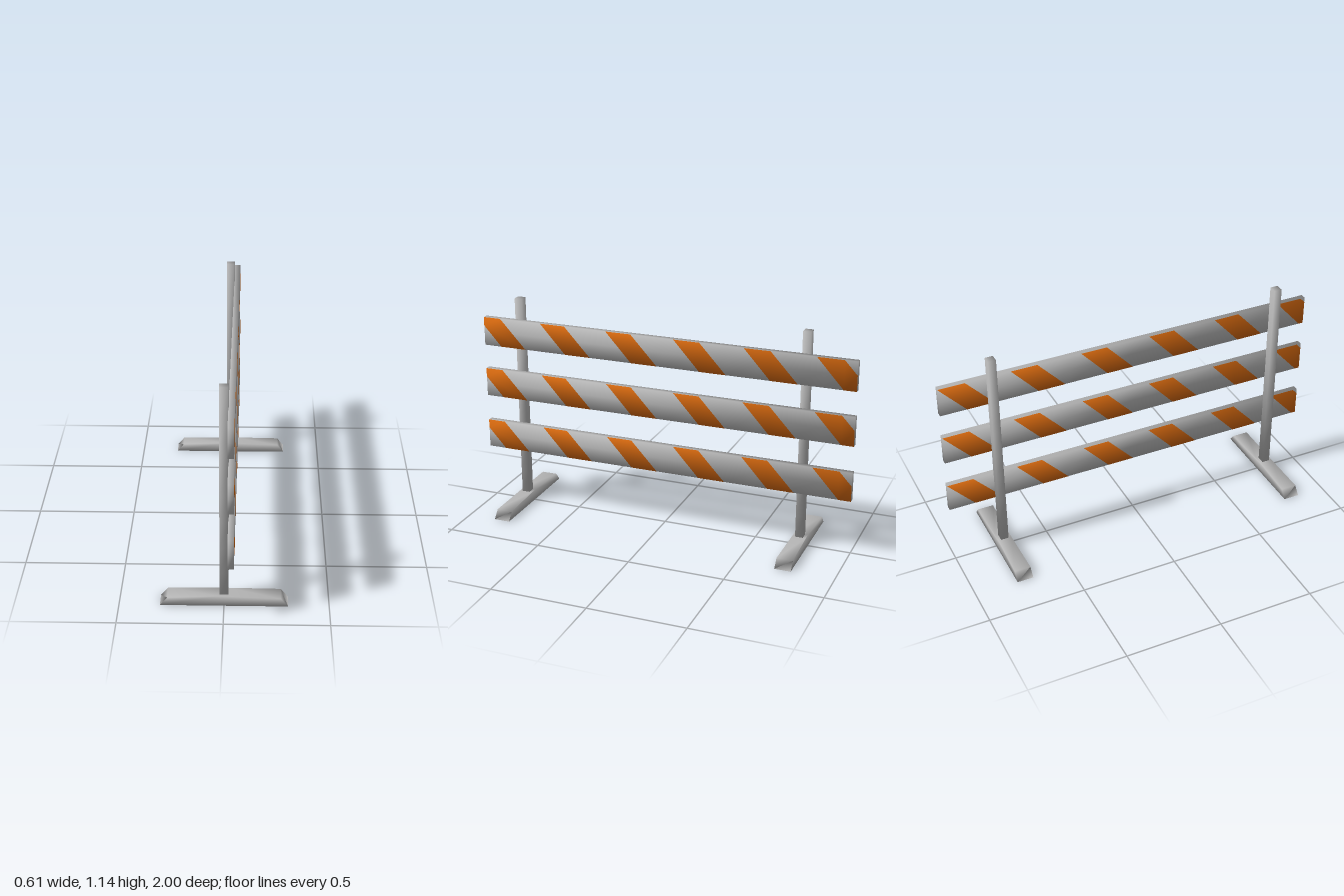
import * as THREE from 'three';
import { mergeVertices } from 'three/addons/utils/BufferGeometryUtils.js';

const grey = new THREE.MeshStandardMaterial({ color: 0xb5b5b5 });
grey.name = 'pale grey';
const orange = new THREE.MeshStandardMaterial({ color: 0xcf650e });
orange.name = 'warning orange';

const BOARD = { depth: 0.029, height: 0.152, length: 2, x: 0.0345 };

// Point the normals outward from the centre, so the block is softly shaded
function softenNormals(geo, hx, hy, hz) {
  const p = geo.attributes.position, n = geo.attributes.normal;
  const v = new THREE.Vector3();
  for (let i = 0; i < p.count; i++) {
    v.set(p.getX(i) / hx, p.getY(i) / hy, p.getZ(i) / hz).normalize();
    n.setXYZ(i, v.x, v.y, v.z);
  }
  return geo;
}

function softBox(name, w, h, d, segY, segZ) {
  const geo = new THREE.BoxGeometry(w, h, d, 1, segY, segZ);
  const mesh = new THREE.Mesh(softenNormals(geo, w / 2, h / 2, d / 2), grey);
  mesh.name = name;
  return mesh;
}

// Clip a polygon to the half-plane side * x <= limit
function clip(points, side, limit) {
  const out = [];
  points.forEach((a, i) => {
    const b = points[(i + 1) % points.length];
    const da = limit - side * a.x, db = limit - side * b.x;
    if (da >= 0) out.push(a);
    if (da * db < 0) out.push(a.clone().lerp(b, da / (da - db)));
  });
  return out;
}

// Slanted stripes for one face of a board, drawn in XY facing +z
function stripeGeometry(shift) {
  const h = BOARD.height / 2, half = BOARD.length / 2, shapes = [];
  for (let i = 0; i < 6; i++) {
    const u = -1.042 + 0.368 * i + shift;
    const corners = [[u, h], [u + 0.137, h], [u + 0.278, -h], [u + 0.138, -h]]
      .map(([x, y]) => new THREE.Vector2(x, y));
    const pts = clip(clip(corners, 1, half), -1, half);
    if (pts.length > 2) shapes.push(new THREE.Shape(pts));
  }
  const z = BOARD.depth / 2 + 0.001;
  const geo = new THREE.ShapeGeometry(shapes).translate(0, 0, z);
  return softenNormals(geo, half, h, z);
}

// Foot: flat bar with sloping ends and a slightly narrower raised middle
function footGeometry() {
  const shape = new THREE.Shape([
    [-0.305, 0], [0.305, 0], [0.27, 0.043], [0.022, 0.05], [-0.022, 0.05], [-0.27, 0.043],
  ].map(([x, y]) => new THREE.Vector2(x, y)));
  let geo = new THREE.ExtrudeGeometry(shape, { depth: 0.084, bevelEnabled: false });
  geo.translate(0, 0, -0.042);
  const p = geo.attributes.position;
  for (let i = 0; i < p.count; i++) if (p.getY(i) > 0.045) p.setZ(i, p.getZ(i) * 0.85);
  geo.deleteAttribute('uv');
  geo.deleteAttribute('normal');
  geo = mergeVertices(geo);
  geo.computeVertexNormals();
  return geo;
}

export function createModel() {
  const group = new THREE.Group();
  group.name = 'roadBarrier';

  // Two uprights, each standing on a cross foot
  const footGeo = footGeometry();
  for (const z of [0.809, -0.737]) {
    const post = softBox('post', 0.043, 1.11, 0.041, 8, 1);
    post.position.set(0, 0.585, z);
    const foot = new THREE.Mesh(footGeo, grey);
    foot.name = 'foot';
    foot.position.z = z;
    group.add(post, foot);
  }

  // Three boards, striped on both broad faces
  const faces = [
    { name: 'outerStripes', turn: Math.PI / 2, geo: stripeGeometry(0) },
    { name: 'innerStripes', turn: -Math.PI / 2, geo: stripeGeometry(0.04) },
  ];
  for (const y of [0.379, 0.671, 0.953]) {
    const board = new THREE.Group();
    board.name = 'board';
    board.add(softBox('plank', BOARD.depth, BOARD.height, BOARD.length, 2, 12));
    for (const { name, turn, geo } of faces) {
      const stripes = new THREE.Mesh(geo, orange);
      stripes.name = name;
      stripes.rotation.y = turn;
      board.add(stripes);
    }
    board.position.set(BOARD.x, y, 0);
    group.add(board);
  }
  return group;
}
